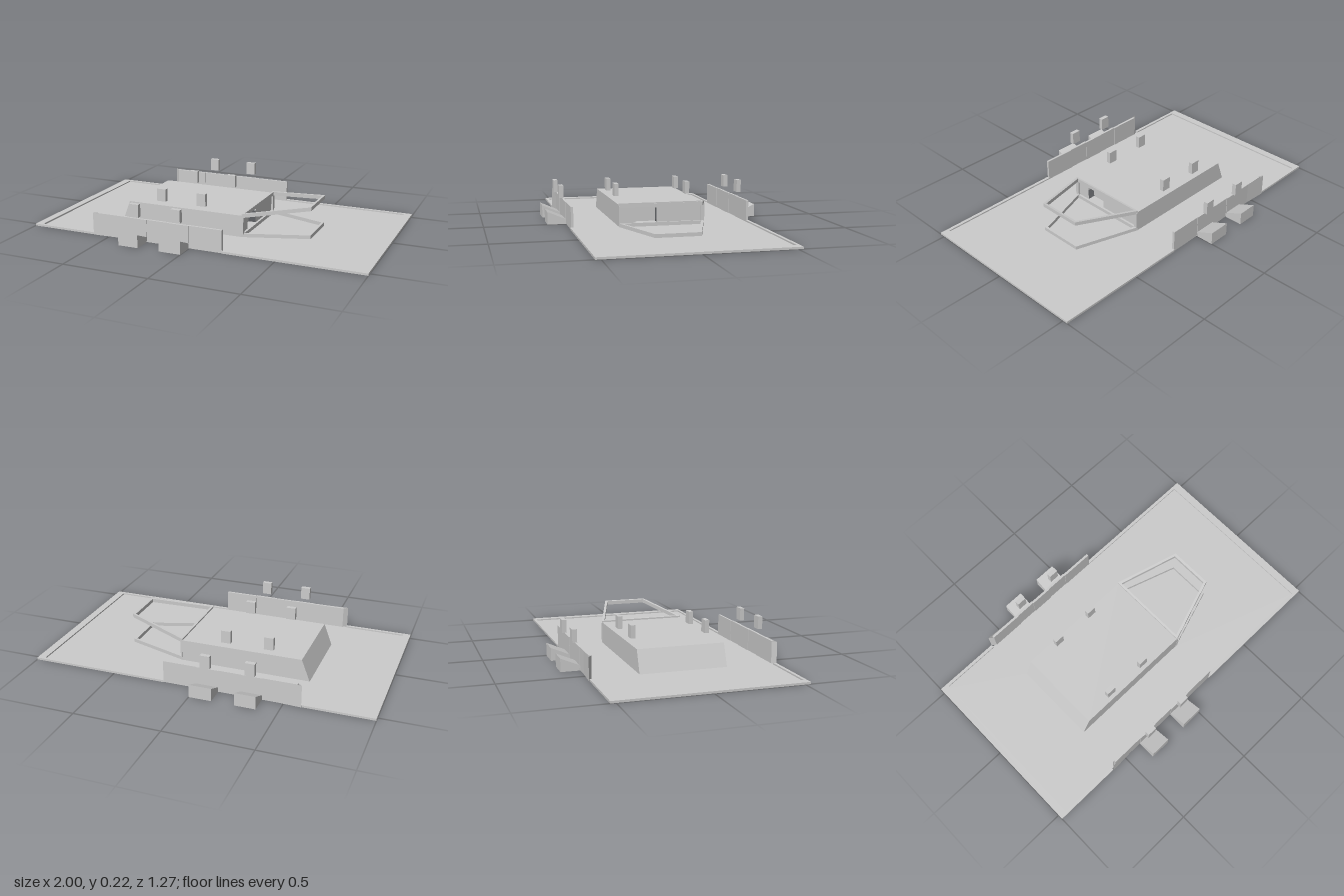
import * as THREE from 'three';

const grey = new THREE.MeshStandardMaterial({ color: 0xcccccc, flatShading: true, side: THREE.DoubleSide });

export function createModel() {
  const model = new THREE.Group();

  const add = (name, geometry) => {
    const mesh = new THREE.Mesh(geometry, grey);
    mesh.name = name;
    model.add(mesh);
    return mesh;
  };
  // Box given by its limits on each axis
  const block = (name, x0, x1, y0, y1, z0, z1) => {
    const mesh = add(name, new THREE.BoxGeometry(x1 - x0, y1 - y0, Math.abs(z1 - z0)));
    mesh.position.set((x0 + x1) / 2, (y0 + y1) / 2, (z0 + z1) / 2);
    return mesh;
  };
  const outline = (Type, pts) => new Type(pts.map(([x, y]) => new THREE.Vector2(x, y)));
  const rect = (x0, x1, z) => [[x0, -z], [x1, -z], [x1, z], [x0, z]];
  // Open surface from a list of four-cornered faces
  const panels = (name, quads) => {
    const pos = quads.flatMap(([a, b, c, d]) => [a, b, c, a, c, d].flat());
    const g = new THREE.BufferGeometry();
    g.setAttribute('position', new THREE.Float32BufferAttribute(pos, 3));
    g.computeVertexNormals();
    return add(name, g);
  };

  // Thin floor, open underneath the central housing
  const floor = outline(THREE.Shape, rect(-0.99, 0.99, 0.52));
  floor.holes.push(outline(THREE.Path, rect(-0.57, 0.195, 0.25)));
  add('floor', new THREE.ShapeGeometry(floor).rotateX(-Math.PI / 2).translate(0, 0.004, 0));

  // Low rim, interrupted along the side walls
  for (const s of [-1, 1]) {
    block('endRim', s > 0 ? 0.955 : -1, s > 0 ? 1 : -0.955, 0, 0.012, -0.53, 0.53);
    block('sideRim', -0.955, -0.6, 0, 0.012, s * 0.512, s * 0.53);
    block('sideRim', 0.195, 0.955, 0, 0.012, s * 0.512, s * 0.53);
  }

  // Central housing: hollow, with one sloping end and a recess in the other
  const h = 0.13, w = 0.25;
  const bl = [-0.57, 0, w], br = [0.195, 0, w], tl = [-0.52, h, w], tr = [0.195, h, w];
  const flip = ([x, y, z]) => [x, y, -z];
  panels('housing', [
    [tl, tr, flip(tr), flip(tl)],
    [bl, br, tr, tl],
    [flip(br), flip(bl), flip(tl), flip(tr)],
    [bl, tl, flip(tl), flip(bl)],
  ]);
  const endWall = outline(THREE.Shape, [[-w, 0], [w, 0], [w, h], [-w, h]]);
  endWall.holes.push(outline(THREE.Path, [[-0.155, 0.025], [-0.03, 0.025], [-0.03, 0.115], [-0.155, 0.115]]));
  add('housingEnd', new THREE.ShapeGeometry(endWall).rotateY(Math.PI / 2).translate(0.195, 0, 0));
  panels('endRecess', [
    [[0.195, 0.115, 0.03], [0.195, 0.115, 0.155], [0.15, 0.105, 0.155], [0.15, 0.105, 0.03]],
    [[0.15, 0.105, 0.03], [0.15, 0.105, 0.155], [0.15, 0.025, 0.155], [0.15, 0.025, 0.03]],
    [[0.15, 0.025, 0.03], [0.15, 0.025, 0.155], [0.195, 0.025, 0.155], [0.195, 0.025, 0.03]],
  ]);

  // Tapered open frames in front of the housing end
  const taperedFrame = (name, y, slope, height) => {
    const shape = outline(THREE.Shape, [[0.195, -0.252], [0.565, -0.13], [0.565, 0.13], [0.195, 0.252]]);
    shape.holes.push(outline(THREE.Path, [[0.208, -0.232], [0.55, -0.12], [0.55, 0.12], [0.208, 0.232]]));
    const g = new THREE.ExtrudeGeometry(shape, { depth: height, bevelEnabled: false });
    g.rotateX(-Math.PI / 2).translate(0, y, 0);
    const p = g.attributes.position;
    for (let i = 0; i < p.count; i++) p.setY(i, p.getY(i) + slope * (p.getX(i) - 0.195));
    g.computeVertexNormals();
    add(name, g);
  };
  taperedFrame('lowerFrame', 0.004, 0, 0.021);
  taperedFrame('upperFrame', 0.117, 0.14, 0.022);

  // A wedge pocket with a sloping top, open below
  const pocket = (name, x0, x1, zLow, zHigh) => {
    const low = (x, y) => [x, y, zLow], high = (x, y) => [x, y, zHigh];
    panels(name, [
      [low(x0, 0.03), low(x1, 0.03), high(x1, 0.075), high(x0, 0.075)],
      [high(x0, 0), high(x1, 0), high(x1, 0.075), high(x0, 0.075)],
      ...[x0, x1].map((x) => [low(x, 0), high(x, 0), high(x, 0.075), low(x, 0.03)]),
    ]);
  };

  const bays = [[-0.38, -0.26], [-0.13, 0]];
  for (const s of [-1, 1]) {
    // Corner posts joining the frames
    block('framePost', 0.195, 0.207, 0.02, 0.125, s * 0.23, s * 0.252);

    // Side wall in panels, with the bay panels standing slightly proud
    [-0.575, -0.38, -0.26, -0.13, 0, 0.195].forEach((x, i, xs) => {
      if (i === xs.length - 1) return;
      const out = i % 2 ? 0.003 : 0;
      block('wallPanel', x, xs[i + 1], 0, h, s * (0.512 + out), s * (0.526 + out));
    });
    // Angled end of the wall
    panels('wallEnd', [[[-0.6, 0, s * 0.533], [-0.575, 0, s * 0.512], [-0.575, h, s * 0.512], [-0.6, h, s * 0.533]],
      [[-0.6, 0, s * 0.533], [-0.46, 0, s * 0.526], [-0.46, h, s * 0.526], [-0.6, h, s * 0.533]]]);

    for (const [x0, x1] of bays) {
      pocket('outerPocket', x0, x1, s * 0.53, s * 0.635);
      pocket('innerPocket', x0, x1, s * 0.25, s * 0.145);
      // Plain floating markers above each bay
      const c = (x0 + x1) / 2;
      for (const z of [0.218, 0.547]) {
        block('bayMarker', c - 0.028, c + 0.028, 0.148, 0.222, s * (z - 0.013), s * (z + 0.013));
      }
    }
  }
  return model;
}
